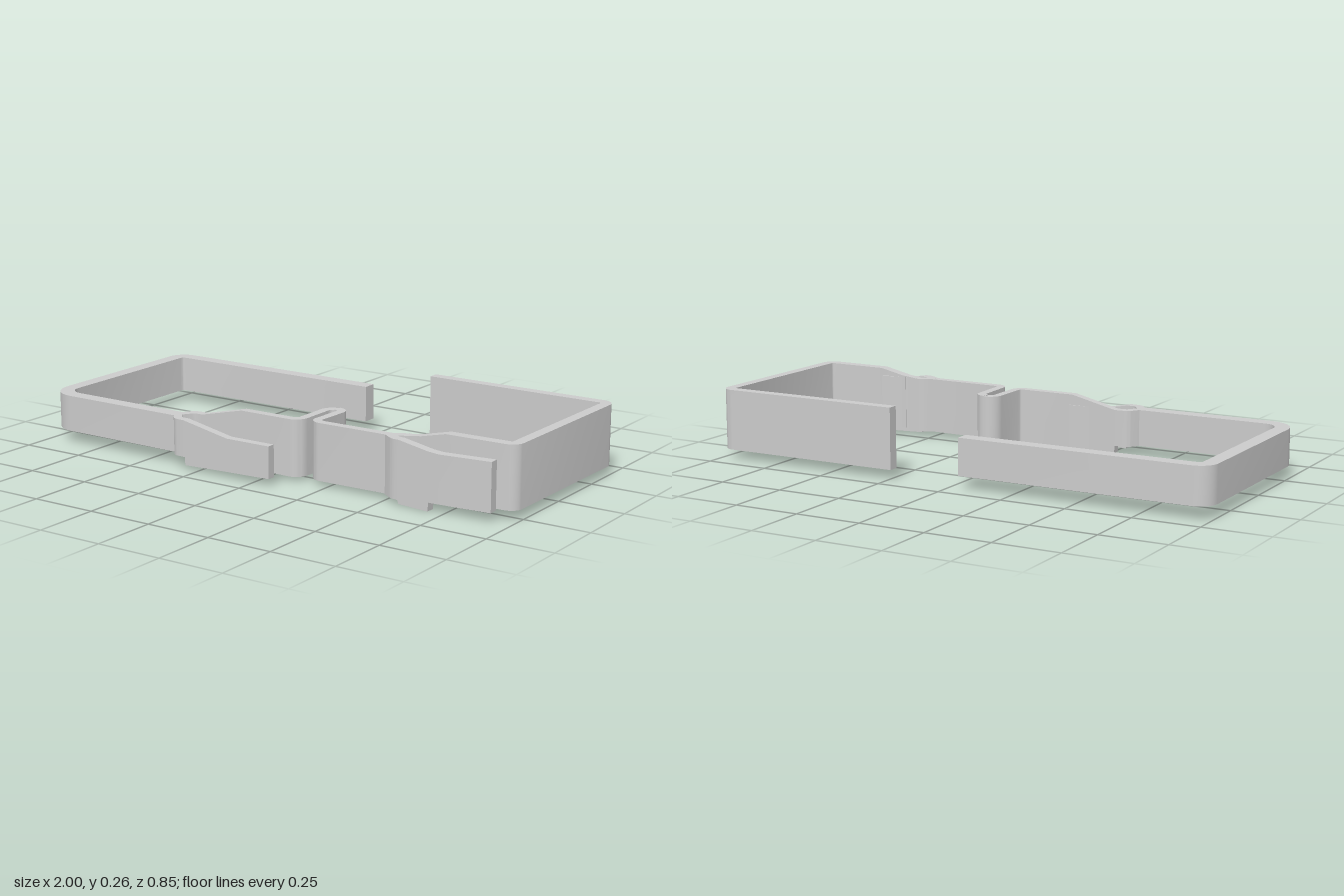
import * as THREE from 'three';
import { toCreasedNormals } from 'three/addons/utils/BufferGeometryUtils.js';

const material = new THREE.MeshStandardMaterial({ color: 0xcccccc, side: THREE.DoubleSide });

// Path points are [x, z, bottom, top, cornerRadius]; round the corners with short curves.
function roundCorners(points) {
  const out = [];
  points.forEach((p, i) => {
    const r = p[4] || 0;
    if (!r) { out.push(p); return; }
    const c = new THREE.Vector2(p[0], p[1]);
    const toward = (q) => new THREE.Vector2(q[0], q[1]).sub(c).normalize();
    const u = toward(points[i - 1]), v = toward(points[i + 1]);
    const at = (dir, d) => c.clone().addScaledVector(dir, d);
    const curve = new THREE.CubicBezierCurve(at(u, r), at(u, r * 0.448), at(v, r * 0.448), at(v, r));
    for (const q of curve.getPoints(8)) out.push([q.x, q.y, p[2], p[3]]);
  });
  return out;
}

// Upright metal strip following a path in plan, with varying lower and upper edges.
function strip(name, thickness, points) {
  const path = roundCorners(points);
  const dir = (a, b) => new THREE.Vector2(b[0] - a[0], b[1] - a[1]).normalize();
  const rings = path.map((p, i) => {
    const before = dir(path[Math.max(i - 1, 0)], path[Math.max(i, 1)]);
    const after = i < path.length - 1 ? dir(p, path[i + 1]) : before;
    const t = before.clone().add(after).normalize();
    const h = thickness / 2 / Math.max(t.dot(before), 0.5);
    const nx = -t.y * h, nz = t.x * h;
    return [
      [p[0] + nx, p[2], p[1] + nz], [p[0] + nx, p[3], p[1] + nz],
      [p[0] - nx, p[3], p[1] - nz], [p[0] - nx, p[2], p[1] - nz],
    ];
  });
  const pos = [];
  const quad = (a, b, c, d) => pos.push(...a, ...b, ...c, ...a, ...c, ...d);
  for (let i = 0; i < rings.length - 1; i++) {
    for (let k = 0; k < 4; k++) {
      const n = (k + 1) % 4;
      quad(rings[i][k], rings[i + 1][k], rings[i + 1][n], rings[i][n]);
    }
  }
  quad(...rings[0]);
  quad(...rings[rings.length - 1].slice().reverse());
  const geo = new THREE.BufferGeometry();
  geo.setAttribute('position', new THREE.Float32BufferAttribute(pos, 3));
  const mesh = new THREE.Mesh(toCreasedNormals(geo, 0.45), material);
  mesh.name = name;
  return mesh;
}

// Thin bent flap: a triangle in plan, extruded upwards.
function flap(name, corners, bottom, top) {
  const shape = new THREE.Shape(corners.map(([x, z]) => new THREE.Vector2(x, -z)));
  const geo = new THREE.ExtrudeGeometry(shape, { depth: top - bottom, bevelEnabled: false });
  geo.rotateX(-Math.PI / 2).translate(0, bottom, 0);
  const mesh = new THREE.Mesh(geo, material);
  mesh.name = name;
  return mesh;
}

export function createModel() {
  const group = new THREE.Group();
  group.name = 'springClip';

  // Thick bracket on the right-hand side of the model
  group.add(strip('rightBracket', 0.055, [
    [-0.04, -0.402, 0.05, 0.188],
    [-0.972, -0.402, 0.05, 0.188, 0.04],
    [-0.972, 0.355, 0.05, 0.188, 0.085],
    [-0.365, 0.36, 0.05, 0.188],
  ]));

  // Front prong of the first fork
  group.add(strip('rightFrontProng', 0.032, [
    [-0.378, 0.362, 0.05, 0.188],
    [-0.345, 0.406, 0.05, 0.188, 0.012],
    [-0.302, 0.408, 0.05, 0.188],
    [-0.3, 0.408, 0.02, 0.187],
    [-0.11, 0.409, 0.026, 0.15],
    [0.075, 0.409, 0.03, 0.15],
  ]));

  // Spring strip: inner prong, narrow loop, and into the second fork
  group.add(strip('springStrip', 0.033, [
    [-0.378, 0.356, 0.05, 0.188],
    [-0.345, 0.306, 0.05, 0.188, 0.012],
    [-0.302, 0.304, 0.05, 0.188],
    [-0.3, 0.304, 0.022, 0.188],
    [-0.12, 0.306, 0.02, 0.23],
    [0.121, 0.306, 0.018, 0.23, 0.033],
    [0.121, 0.109, 0.016, 0.23, 0.032],
    [0.186, 0.109, 0.016, 0.232, 0.032],
    [0.186, 0.303, 0.022, 0.234, 0.033],
    [0.51, 0.303, 0.024, 0.235],
    [0.545, 0.281, 0.024, 0.235, 0.012],
    [0.62, 0.28, 0.03, 0.243],
  ]));

  // Front prong of the second fork, with its small lower tab
  group.add(strip('leftFrontProng', 0.036, [
    [0.505, 0.306, 0.022, 0.235],
    [0.545, 0.334, 0.022, 0.235, 0.012],
    [0.568, 0.335, 0.02, 0.235],
    [0.57, 0.335, 0.008, 0.235],
    [0.69, 0.339, 0.003, 0.214],
    [0.692, 0.339, 0.035, 0.214],
    [0.73, 0.338, 0.035, 0.21],
    [0.93, 0.332, 0.038, 0.215],
  ]));

  // Tall bracket on the left-hand side of the model
  group.add(strip('leftBracket', 0.04, [
    [0.61, 0.28, 0.034, 0.241],
    [0.72, 0.277, 0.035, 0.266],
    [0.974, 0.274, 0.038, 0.267, 0.025],
    [0.98, -0.405, 0.038, 0.267, 0.03],
    [0.245, -0.405, 0.038, 0.267],
  ]));

  // Twisted flaps behind the forks
  group.add(flap('leftForkFlap', [[0.56, 0.27], [0.712, 0.262], [0.712, 0.246]], 0.02, 0.237));
  group.add(flap('rightForkFlap', [[-0.25, 0.292], [-0.11, 0.293], [-0.11, 0.284]], 0.024, 0.19));

  return group;
}
